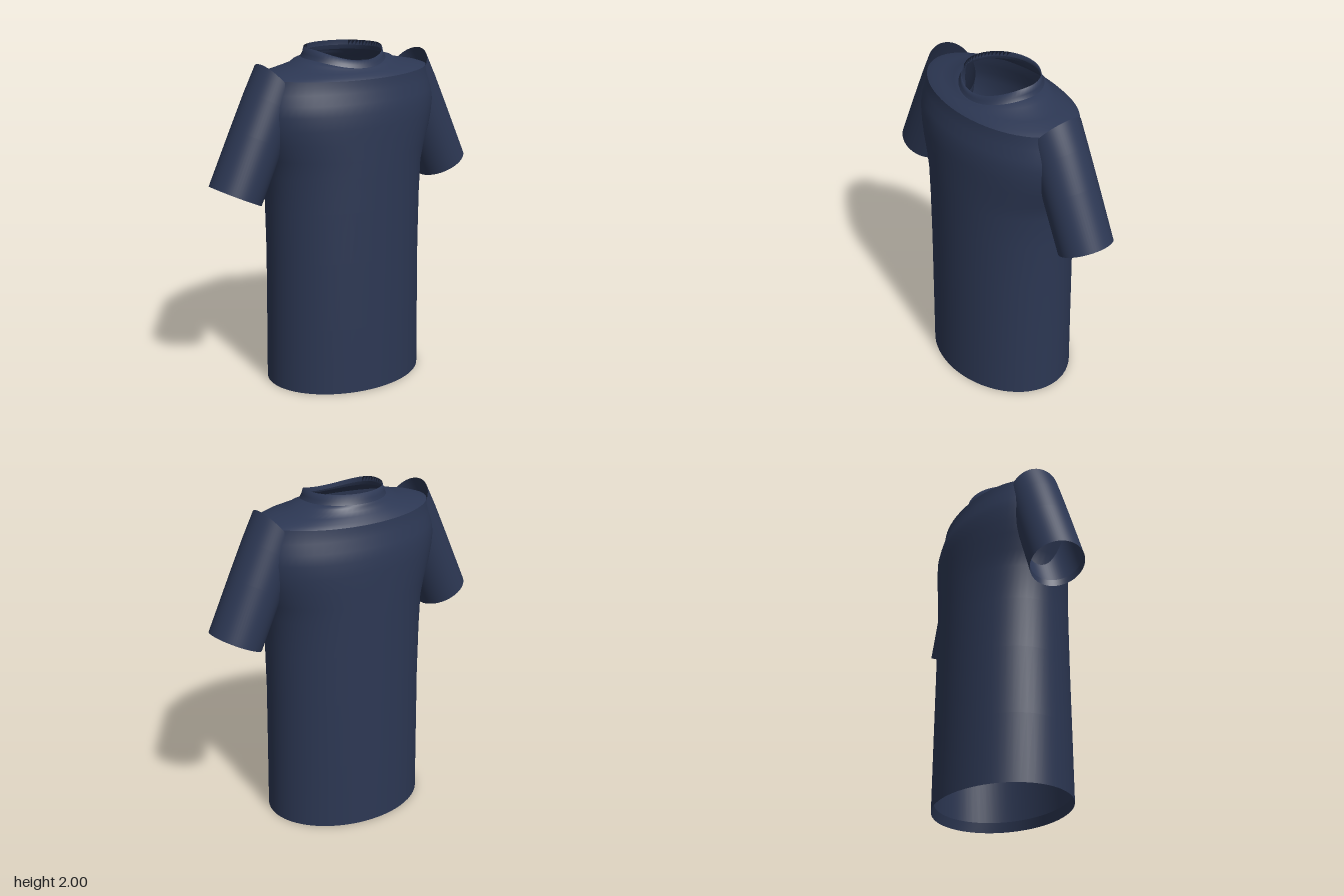
import * as THREE from 'three';

const SEG = 64;
const cloth = new THREE.MeshStandardMaterial({ color: 0x2c3753, side: THREE.DoubleSide });

// Skin a stack of closed rings; ringAt(i, angle) gives each point.
function loft(name, count, ringAt) {
  const pos = [], index = [];
  for (let i = 0; i < count; i++) {
    for (let j = 0; j < SEG; j++) pos.push(...ringAt(i, (j / SEG) * Math.PI * 2));
  }
  for (let i = 0; i < count - 1; i++) {
    for (let j = 0; j < SEG; j++) {
      const k = (j + 1) % SEG;
      const a = i * SEG + j, b = i * SEG + k, c = a + SEG, d = b + SEG;
      index.push(a, c, b, b, c, d);
    }
  }
  const geo = new THREE.BufferGeometry();
  geo.setAttribute('position', new THREE.Float32BufferAttribute(pos, 3));
  geo.setIndex(index);
  geo.computeVertexNormals();
  const mesh = new THREE.Mesh(geo, cloth);
  mesh.name = name;
  return mesh;
}

// Elliptical rings [height, half width, half depth, drop at the front, drop at the back]
function ellipses(name, rings) {
  return loft(name, rings.length, (i, t) => {
    const [y, a, c, front = 0, back = 0] = rings[i];
    const s = Math.sin(t);
    return [a * Math.cos(t), y - (s > 0 ? front : back) * s * s, c * s];
  });
}

// Sleeve rings [centre x, centre y, vector to the outer edge x, y], same depth throughout
function sleeve(name, side, rings) {
  return loft(name, rings.length, (i, t) => {
    const [x, y, ux, uy, depth = 0.158] = rings[i];
    const c = Math.cos(t);
    // mirrored angle keeps the faces pointing outward on both sides
    return [side * (x + ux * c), y + uy * c, side * depth * Math.sin(t)];
  });
}

export function createModel() {
  const shirt = new THREE.Group();
  shirt.name = 'shirt';

  // Body from hem to shoulder edge
  shirt.add(ellipses('body', [
    [0, 0.495, 0.385], [0.4, 0.492, 0.38], [0.8, 0.49, 0.374], [1.1, 0.497, 0.369],
    [1.3, 0.508, 0.366], [1.4, 0.535, 0.364], [1.5, 0.572, 0.361], [1.58, 0.592, 0.359],
    [1.66, 0.603, 0.354], [1.72, 0.597, 0.34], [1.78, 0.58, 0.322], [1.82, 0.568, 0.313],
    [1.86, 0.56, 0.309, 0.012, 0.012],
  ]));

  // Sloping yoke between shoulder edge and collar seam
  shirt.add(ellipses('yoke', [
    [1.86, 0.56, 0.309, 0.012, 0.012], [1.877, 0.51, 0.293, 0.015, 0.01],
    [1.895, 0.42, 0.265, 0.018, 0.005], [1.91, 0.345, 0.243, 0.022, 0],
    [1.93, 0.31, 0.236, 0.035, 0], [1.943, 0.255, 0.228, 0.045, 0],
  ]));

  // Collar band, lower at the front, with a narrow fold inside
  shirt.add(ellipses('collar', [
    [1.943, 0.255, 0.228, 0.045, 0], [1.965, 0.243, 0.219, 0.05, 0],
    [2, 0.235, 0.21, 0.06, 0], [1.97, 0.236, 0.209, 0.055, 0],
  ]));

  // Turned-in hem
  shirt.add(ellipses('hem', [[0.06, 0.485, 0.372], [0, 0.495, 0.385]]));

  for (const [label, side] of [['left', 1], ['right', -1]]) {
    shirt.add(sleeve(label + 'Sleeve', side, [
      [0.46, 1.81, 0.1, 0.13], [0.5, 1.71, 0.14, 0.08],
      [0.592, 1.522, 0.143, 0.068], [0.737, 1.212, 0.143, 0.068],
    ]));
    // Turned-in cuff
    shirt.add(sleeve(label + 'Cuff', side, [
      [0.72, 1.25, 0.136, 0.064, 0.152], [0.737, 1.212, 0.143, 0.068],
    ]));
  }
  return shirt;
}
